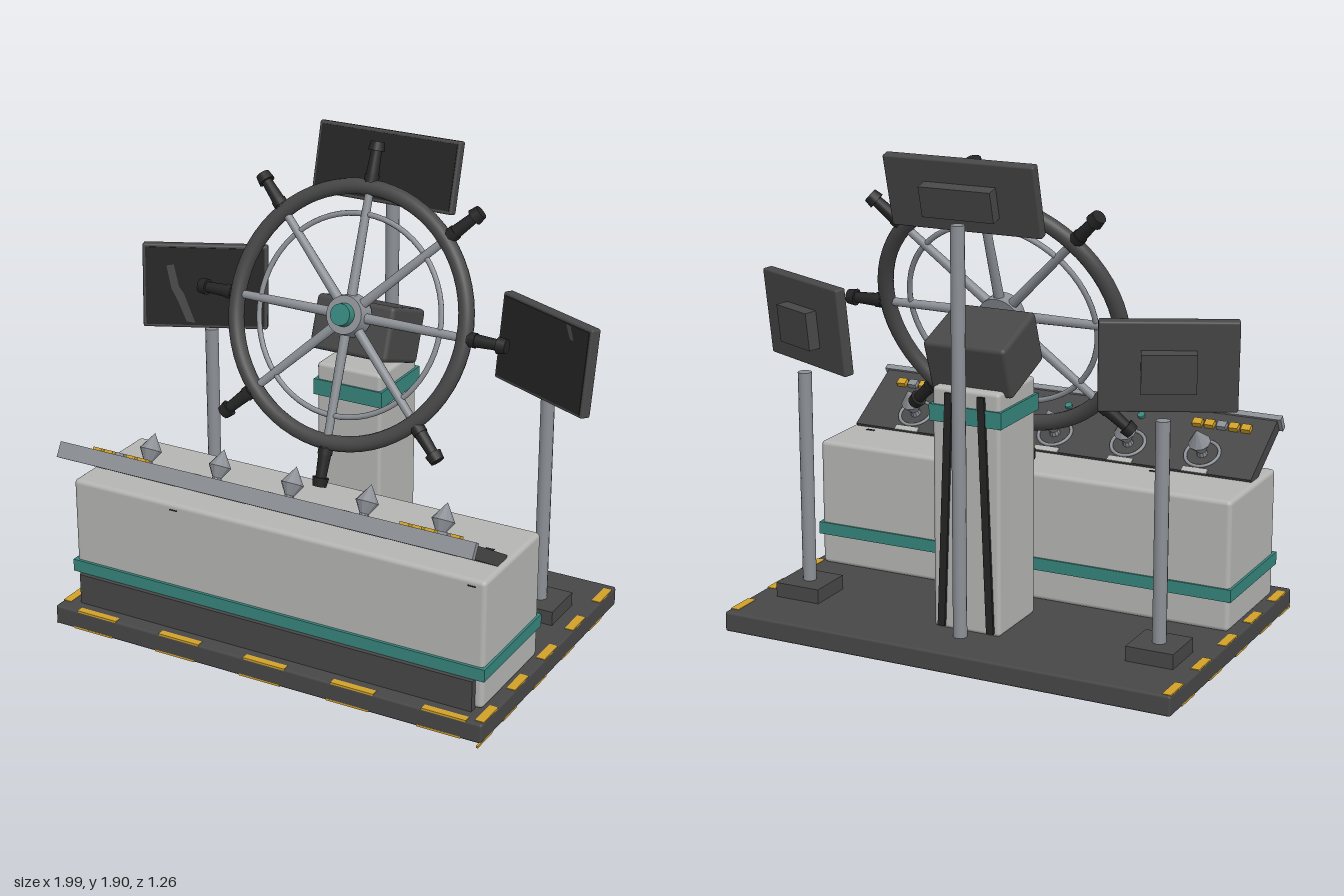
import * as THREE from 'three';
import { RoundedBoxGeometry } from 'three/addons/geometries/RoundedBoxGeometry.js';

const mat = (name, color) => {
  const m = new THREE.MeshStandardMaterial({ color });
  m.name = name;
  return m;
};

export function createModel() {
  const light = mat('lightGrey', 0xb5b5b3);
  const dark = mat('darkGrey', 0x474747);
  const black = mat('black', 0x242424);
  const metal = mat('metal', 0x8c9096);
  const teal = mat('teal', 0x36857c);
  const yellow = mat('yellow', 0xd0a028);

  const root = new THREE.Group();
  const rad = THREE.MathUtils.degToRad;

  const add = (parent, name, geo, material, x = 0, y = 0, z = 0) => {
    const m = new THREE.Mesh(geo, material);
    m.name = name;
    m.position.set(x, y, z);
    parent.add(m);
    return m;
  };
  const box = (parent, name, material, [w, h, d], [x, y, z], r = 0) =>
    add(parent, name, r ? new RoundedBoxGeometry(w, h, d, 2, r) : new THREE.BoxGeometry(w, h, d), material, x, y, z);
  const cyl = (parent, name, material, r1, r2, h, [x, y, z], n = 20) =>
    add(parent, name, new THREE.CylinderGeometry(r1, r2, h, n), material, x, y, z);
  const group = (name, x, y, z, parent = root) => {
    const g = new THREE.Group();
    g.name = name;
    g.position.set(x, y, z);
    parent.add(g);
    return g;
  };

  // Platform with hazard dashes along the front and side edges
  box(root, 'platform', dark, [1.87, 0.08, 1.23], [0, 0.04, -0.005], 0.01);
  for (let i = 0; i < 5; i++) {
    const x = -0.78 + i * 0.38;
    box(root, 'frontDashTop', yellow, [0.18, 0.008, 0.03], [x + 0.04, 0.078, 0.594]);
    box(root, 'frontDashBottom', yellow, [0.18, 0.008, 0.008], [x + 0.02, 0.005, 0.606]);
  }
  for (const s of [-1, 1]) {
    for (let i = 0; i < 5; i++) {
      const z = -0.52 + i * 0.262 + (s < 0 ? -0.03 : 0);
      box(root, 'sideDashTop', yellow, [0.035, 0.008, 0.12], [s * 0.915, 0.078, z]);
      box(root, 'sideDashBottom', yellow, [0.008, 0.008, 0.12], [s * 0.931, 0.005, z + 0.1 - (i === 4 ? 0.05 : 0)]);
    }
  }

  // Console
  box(root, 'consoleBody', light, [1.78, 0.52, 0.47], [0, 0.34, 0.278], 0.018);
  box(root, 'consoleBand', teal, [1.8, 0.05, 0.49], [0, 0.23, 0.28]);
  box(root, 'kickPlate', dark, [1.72, 0.125, 0.06], [0, 0.142, 0.512]);
  for (const x of [-0.48, 0.785]) {
    box(root, 'topScratch', black, [0.035, 0.004, 0.012], [x, 0.6, 0.265]);
    box(root, 'frontScratch', black, [0.035, 0.006, 0.004], [x + 0.05, 0.574, 0.512]);
  }

  // Tilted control panel, origin at the middle of its upper face
  const panel = group('controlPanel', 0, 0.6975, 0.4425);
  panel.rotation.x = rad(-30.5);
  box(panel, 'panelSlab', dark, [1.74, 0.05, 0.335], [0, -0.025, -0.004]);
  box(panel, 'panelLip', metal, [1.77, 0.062, 0.025], [0, -0.023, 0.162]);
  const knobProfile = [[0, 0], [0.022, 0], [0.018, 0.02], [0.045, 0.065], [0.04, 0.072], [0, 0.132]]
    .map(([x, y]) => new THREE.Vector2(x, y));
  const knobGeo = new THREE.LatheGeometry(knobProfile, 10).toNonIndexed();
  knobGeo.computeVertexNormals();
  for (const x of [-0.635, -0.32, 0, 0.32, 0.635]) {
    add(panel, 'knob', knobGeo, metal, x, 0, -0.072);
    const ring = add(panel, 'knobRing', new THREE.TorusGeometry(0.068, 0.007, 8, 28), metal, x, 0.002, -0.072);
    ring.rotation.x = Math.PI / 2;
    box(panel, 'knobLabel', light, [0.105, 0.006, 0.026], [x, 0.002, -0.163]);
  }
  for (const x of [-0.32, 0, 0.32]) cyl(panel, 'indicator', teal, 0.015, 0.015, 0.014, [x, 0.004, 0.08], 14);
  for (const s of [-1, 1]) {
    for (let i = 0; i < 5; i++) {
      const grey = i === (s < 0 ? 2 : 3);
      box(panel, 'button', grey ? metal : yellow, [0.038, 0.022, 0.032], [s * 0.665 + (i - 2) * 0.051, 0.009, 0.08]);
    }
  }

  // Pedestal with cables down the back
  box(root, 'pedestal', light, [0.28, 0.95, 0.3], [0, 0.553, -0.235], 0.015);
  box(root, 'pedestalBand', teal, [0.3, 0.065, 0.315], [0, 0.928, -0.235]);
  for (const s of [-1, 1]) {
    const cable = box(root, 'backCable', black, [0.03, 0.92, 0.016], [s * 0.085, 0.55, -0.389]);
    cable.rotation.z = s * 0.04;
  }

  // Gear housing and wheel share the same backward lean
  const helm = group('helm', 0, 1.25, -0.085);
  helm.rotation.x = rad(-20);
  box(helm, 'gearHousing', dark, [0.34, 0.215, 0.28], [0, -0.047, -0.18], 0.018);
  const shaft = cyl(helm, 'shaft', metal, 0.04, 0.04, 0.12, [0, 0, -0.02]);
  const hub = cyl(helm, 'hub', metal, 0.075, 0.085, 0.07, [0, 0, 0.005], 28);
  const cap = cyl(helm, 'hubCap', teal, 0.042, 0.046, 0.035, [0, 0, 0.055], 24);
  for (const m of [shaft, hub, cap]) m.rotation.x = Math.PI / 2;
  add(helm, 'rim', new THREE.TorusGeometry(0.493, 0.031, 12, 64), dark);
  add(helm, 'innerRing', new THREE.TorusGeometry(0.39, 0.011, 8, 64), metal);
  for (let i = 0; i < 8; i++) {
    const arm = group('spokeAndHandle', 0, 0, 0, helm);
    arm.rotation.z = i * Math.PI / 4;
    cyl(arm, 'spoke', metal, 0.016, 0.02, 0.44, [0, 0.27, 0], 12);
    cyl(arm, 'handle', black, 0.021, 0.027, 0.13, [0, 0.575, 0], 14);
    cyl(arm, 'handleCollar', black, 0.029, 0.029, 0.025, [0, 0.53, 0], 14);
    cyl(arm, 'handleEnd', black, 0.028, 0.033, 0.035, [0, 0.65, 0], 14);
  }

  // Monitor: casing, front screen and rear housing
  const monitor = (name, [x, y, z], yaw, tilt, [w, h, d], [bw, bh, bd]) => {
    const g = group(name, x, y, z);
    g.rotation.order = 'YXZ';
    g.rotation.set(rad(-tilt), rad(yaw), 0);
    box(g, 'casing', dark, [w, h, d], [0, 0, 0], 0.008);
    box(g, 'screen', black, [w - 0.025, h - 0.025, 0.006], [0, 0, d / 2]);
    box(g, 'rearHousing', dark, [bw, bh, bd], [0, -0.01, -d / 2 - bd / 2 + 0.002]);
    return g;
  };
  monitor('topMonitor', [0, 1.757, -0.39], 0, 15, [0.61, 0.28, 0.04], [0.29, 0.12, 0.05]);
  const sideMonitors = [-1, 1].map((s) =>
    monitor('sideMonitor', [s * 0.752, 1.18, -0.255], -s * 25, 6, [0.505, 0.345, 0.045], [0.2, 0.15, 0.05]));

  // Faint streaks on the side screens
  const streak = (g, pts) => {
    const shape = new THREE.Shape(pts.map(([x, y]) => new THREE.Vector2(x, y)));
    add(g, 'screenStreak', new THREE.ShapeGeometry(shape), dark, 0, 0, 0.0268);
  };
  streak(sideMonitors[0], [[-0.155, 0.085], [-0.125, 0.09], [-0.105, 0], [-0.085, -0.03], [-0.04, -0.15], [-0.075, -0.145], [-0.11, -0.06], [-0.135, -0.01]]);
  streak(sideMonitors[1], [[0.115, 0.155], [0.14, 0.155], [0.165, 0.105], [0.145, 0.105]]);

  // Poles
  cyl(root, 'centrePole', metal, 0.027, 0.027, 1.577, [0, 0.867, -0.438], 12);
  for (const s of [-1, 1]) {
    cyl(root, 'sidePole', metal, 0.027, 0.027, 0.91, [s * 0.75, 0.53, -0.29], 12);
    box(root, 'poleFoot', dark, [0.19, 0.06, 0.19], [s * 0.75, 0.108, -0.29]);
  }

  return root;
}
